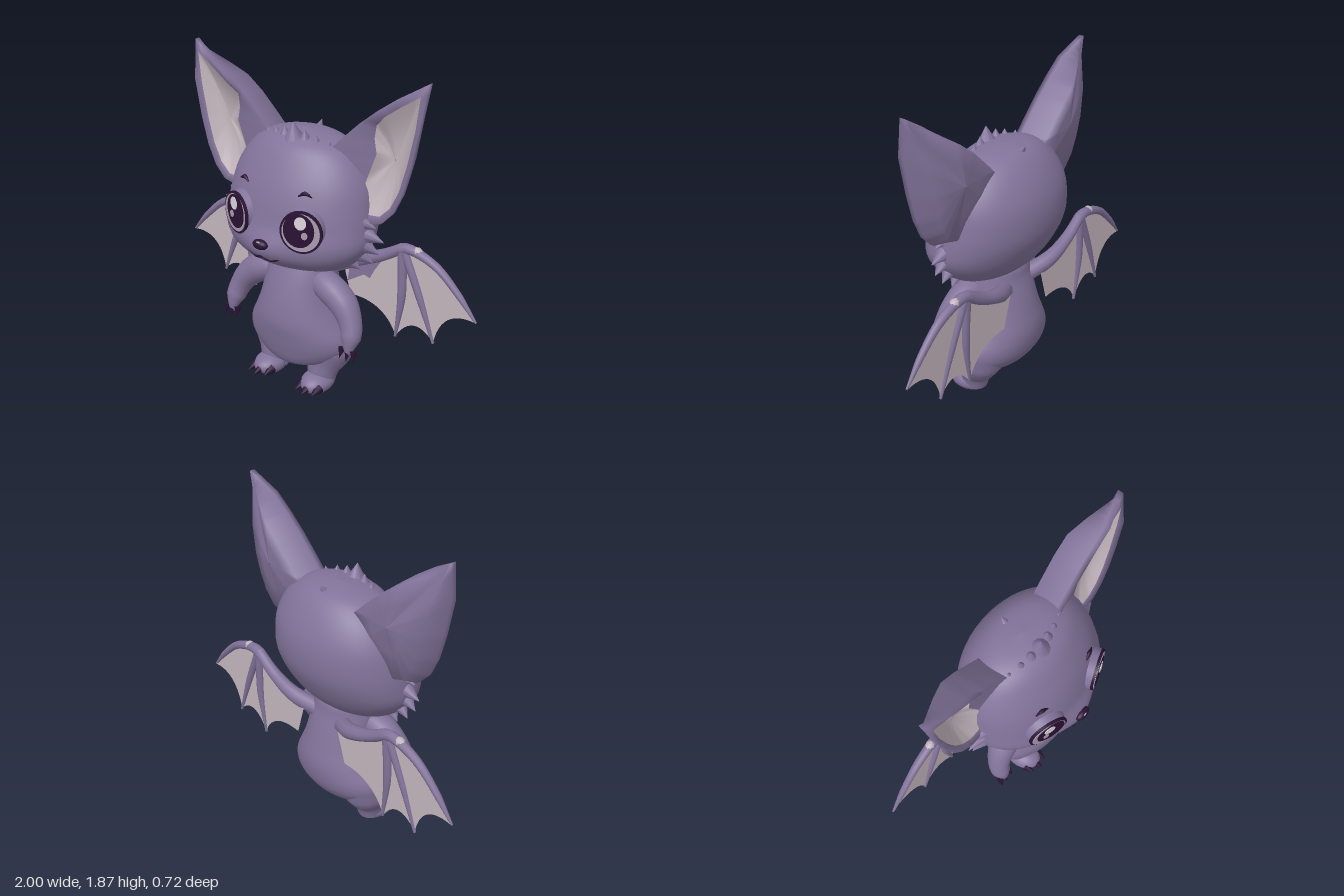
import * as THREE from 'three';
import { mergeVertices, mergeGeometries } from 'three/addons/utils/BufferGeometryUtils.js';

const V = (x, y, z = 0) => new THREE.Vector3(x, y, z);
const material = (name, color, side = THREE.FrontSide) => {
  const m = new THREE.MeshStandardMaterial({ color, side });
  m.name = name;
  return m;
};

// Merge duplicate corners so the shading is smooth
function smooth(geo) {
  geo.deleteAttribute('uv');
  geo.deleteAttribute('normal');
  const g = mergeVertices(geo, 1e-5);
  g.computeVertexNormals();
  return g;
}

// Skin a list of closed rings
function loft(rings) {
  const n = rings[0].length, index = [];
  for (let j = 0; j < rings.length - 1; j++) {
    for (let i = 0; i < n; i++) {
      const a = j * n + i, b = j * n + (i + 1) % n, c = a + n, d = b + n;
      index.push(a, c, b, b, c, d);
    }
  }
  const geo = new THREE.BufferGeometry().setFromPoints(rings.flat());
  geo.setIndex(index);
  geo.computeVertexNormals();
  return geo;
}

// Rounded volume from rows of [height, half width, front z, back z]
function volume(rows, steps = 44, n = 48) {
  const side = new THREE.CatmullRomCurve3(rows.map(r => V(r[1], r[0], 0)));
  const depth = new THREE.CatmullRomCurve3(rows.map(r => V(r[2], r[0], r[3])));
  const rings = [];
  for (let j = 0; j <= steps; j++) {
    const s = side.getPoint(j / steps), d = depth.getPoint(j / steps);
    const ring = [];
    for (let i = 0; i < n; i++) {
      const a = i / n * Math.PI * 2;
      ring.push(V(s.x * Math.cos(a), s.y, (d.x + d.z) / 2 + (d.x - d.z) / 2 * Math.sin(a)));
    }
    rings.push(ring);
  }
  return loft(rings);
}

// Tapered tube through points, radii spread evenly along it
function limb(points, radii, segs = 20, sides = 14) {
  const path = new THREE.CatmullRomCurve3(points.map(p => V(...p)));
  const geo = new THREE.TubeGeometry(path, segs, 1, sides);
  const pos = geo.attributes.position, p = V(0, 0);
  for (let i = 0; i < pos.count; i++) {
    const u = Math.floor(i / (sides + 1)) / segs, k = u * (radii.length - 1);
    const j = Math.min(Math.floor(k), radii.length - 2);
    const r = THREE.MathUtils.lerp(radii[j], radii[j + 1], k - j);
    const c = path.getPointAt(u);
    p.fromBufferAttribute(pos, i).sub(c).multiplyScalar(r).add(c);
    pos.setXYZ(i, p.x, p.y, p.z);
  }
  return smooth(geo);
}

// Pointed tuft or claw
function spike(base, tip, r) {
  const a = V(...base), dir = V(...tip).sub(a), len = dir.length();
  const geo = new THREE.ConeGeometry(r, len, 10).translate(0, len / 2, 0);
  geo.applyQuaternion(new THREE.Quaternion().setFromUnitVectors(V(0, 1), dir.normalize()));
  return geo.translate(a.x, a.y, a.z);
}

const ball = (c, r) => new THREE.SphereGeometry(1, 28, 20).scale(...r).translate(...c);

function mirrored(geo) {
  const g = geo.clone();
  g.attributes.position.array.forEach((v, i, a) => { if (i % 3 === 0) a[i] = -v; });
  const idx = g.index.array;
  for (let i = 0; i < idx.length; i += 3) [idx[i], idx[i + 1]] = [idx[i + 1], idx[i]];
  g.computeVertexNormals();
  return g;
}

export function createModel() {
  const root = new THREE.Group();
  root.name = 'batCub';
  const fur = material('purple fur', 0x82739a);
  const pale = material('pale skin', 0xc3b5bd, THREE.DoubleSide);
  const dark = material('dark plum', 0x2a1234);
  const sclera = material('eye lilac', 0xaa9cae);
  const shine = material('eye shine', 0xded5dd);
  const add = (name, geo, mat) => {
    const m = new THREE.Mesh(geo, mat);
    m.name = name;
    root.add(m);
  };
  const pair = (name, geo, mat) => {
    add('left' + name, geo, mat);
    add('right' + name, mirrored(geo), mat);
  };

  // Head with a soft muzzle bulge
  const head = volume([[.755, 0, -.03, -.03], [.765, .2, .12, -.14], [.80, .33, .22, -.20], [.87, .41, .29, -.26],
    [.95, .455, .305, -.305], [1.05, .455, .288, -.345], [1.15, .44, .268, -.356], [1.25, .415, .235, -.345],
    [1.35, .36, .185, -.305], [1.43, .28, .13, -.25], [1.475, .18, .06, -.19], [1.495, 0, -.07, -.07]]);
  const hp = head.attributes.position;
  for (let i = 0; i < hp.count; i++) {
    const x = hp.getX(i), y = hp.getY(i), z = hp.getZ(i);
    if (z > .1) hp.setZ(i, z + .035 * Math.exp(-x * x / .02 - (y - .92) ** 2 / .008));
  }
  head.computeVertexNormals();
  add('head', head, fur);

  // Body
  add('body', volume([[.125, 0, 0, 0], [.14, .14, .12, -.11], [.18, .25, .155, -.19], [.26, .325, .18, -.25],
    [.33, .33, .195, -.27], [.42, .285, .21, -.275], [.52, .24, .2, -.255], [.62, .215, .175, -.23],
    [.72, .2, .14, -.2], [.80, .17, .1, -.18], [.85, 0, -.03, -.03]]), fur);
  add('bellyTuft', spike([0, .21, .105], [0, .112, .125], .06), fur);

  // Face
  add('nose', ball([0, .955, .335], [.048, .028, .027]), dark);
  add('noseShine', ball([0, .972, .349], [.016, .006, .008]), sclera);
  add('mouth', limb([[-.11, .888, .298], [-.055, .866, .306], [0, .882, .323], [.055, .866, .306], [.11, .888, .298]],
    [.004, .008, .008, .008, .004], 30, 8), dark);
  pair('Brow', limb([[.165, 1.232, .224], [.2, 1.252, .214], [.238, 1.235, .202]], [.003, .012, .003], 12, 8), dark);

  // Eyes: tapered fur pad, thin rim and discs stacked on the face
  const disc = (x, y, z, rx, ry, h = .006, flare = 1) => new THREE.CylinderGeometry(1, flare, h, 36)
    .rotateX(Math.PI / 2).scale(rx, ry, 1).translate(x, y, z - h / 2)
    .rotateY(.34).translate(.22, 1.06, .274);
  pair('EyePad', disc(0, 0, -.01, .112, .113, .1, 1.2), fur);
  pair('EyeRim', disc(0, 0, 0, .115, .117, .014), dark);
  pair('EyeWhite', disc(0, 0, .004, .103, .105), sclera);
  pair('Pupil', disc(-.01, .012, .008, .084, .094), dark);
  pair('EyeShine', disc(0, .055, .012, .032, .036), shine);
  pair('EyeGlint', disc(.022, -.012, .012, .017, .02), sclera);

  // Ears: furry shell and pale hollow from matching outlines
  const outline = [[.44, 1.08], [.53, 1.10], [.595, 1.17], [.648, 1.285], [.69, 1.44], [.73, 1.65], [.75, 1.865],
    [.60, 1.773], [.49, 1.695], [.385, 1.61], [.285, 1.515], [.20, 1.43], [.22, 1.25], [.34, 1.14]];
  const hollow = [[.42, 1.12], [.51, 1.13], [.57, 1.19], [.62, 1.295], [.66, 1.44], [.698, 1.63], [.717, 1.8],
    [.61, 1.73], [.52, 1.665], [.455, 1.60], [.445, 1.53], [.46, 1.45], [.405, 1.30], [.38, 1.18]];
  const pull = [.1, .16, .22, .25, .27, .26, .1, .1, .07, .06, .06, .06, .1, .1];
  const back = [-.1, -.11, -.12, -.125, -.13, -.12, -.06, -.125, -.165, -.17, -.17, -.17, -.16, -.13];
  const ring = pts => pts.flatMap((p, i) => [0, .25, .5, .75].map(t => p.clone().lerp(pts[(i + 1) % pts.length], t)));
  const toward = (pts, x, y, z, t) => pts.map(p => p.clone().lerp(V(x, y, z), t));
  const rim = outline.map(([x, y], i) => V(x, y, i === 6 ? -.03 : .01));
  const edge = hollow.map(([x, y], i) => V(x, y, i > 8 && i < 13 ? -.04 : -.01));
  const spine = outline.map(([x, y], i) => V(x + (.5 - x) * pull[i], y + (1.45 - y) * pull[i], back[i]));
  pair('Ear', loft([ring(edge), ring(rim), ring(rim.map(p => p.clone().setZ(p.z - .03))), ring(spine),
    ring(toward(spine, .46, 1.45, -.175, .5)), ring(toward(spine, .46, 1.45, -.175, .99))]), fur);
  const bowl = t => ring(edge.map(p => V(p.x + (.55 - p.x) * t, p.y + (1.43 - p.y) * t,
    p.z * (1 - t) - .075 * (1 - (1 - t) ** 2))));
  pair('EarHollow', loft([.99, .8, .6, .4, .2, 0].map(bowl)), pale);

  // Fur tufts on crown and cheeks
  add('crownTuft', spike([0, 1.43, .04], [0, 1.555, .052], .075), fur);
  add('napeTuft', spike([0, 1.36, -.1], [0, 1.505, -.2], .09), fur);
  const tufts = [
    [[.065, 1.41, .035], [.068, 1.52, .04], .065], [[.125, 1.39, .02], [.135, 1.5, .03], .065],
    [[.18, 1.37, 0], [.207, 1.475, .01], .06], [[.39, 1.02, .0], [.545, .99, -.01], .065],
    [[.39, .97, .01], [.52, .915, -.01], .065], [[.35, .91, .01], [.475, .85, -.02], .065],
    [[.29, .86, .01], [.40, .79, -.02], .065], [[.38, 1.09, .01], [.50, 1.06, 0], .06]];
  pair('Tufts', mergeGeometries(tufts.map(t => spike(...t))), fur);

  // Arms with claws
  pair('Arm', limb([[.07, .66, -.01], [.21, .65, .02], [.335, .57, .033], [.4, .46, .06], [.413, .36, .1], [.413, .325, .105]],
    [.05, .08, .085, .08, .066, .056, .012], 30, 18), fur);
  pair('HandClaws', mergeGeometries([-1, 0, 1].map(i =>
    spike([.412 + i * .038, .36, .105], [.413 + i * .045, .292 + Math.abs(i) * .006, .125], .02))), dark);

  // Legs, feet and toe claws
  pair('Leg', limb([[.19, .32, -.06], [.185, .2, -.03], [.172, .11, 0], [.17, .03, .01]], [.14, .14, .095, .075], 16, 18), fur);
  const foot = ball([.171, .045, .05], [.088, .062, .118]);
  const fp = foot.attributes.position;
  for (let i = 0; i < fp.count; i++) fp.setY(i, Math.max(0, fp.getY(i)));
  pair('Foot', smooth(foot), fur);
  pair('ToeClaws', mergeGeometries([-1, 0, 1].map(i =>
    spike([.171 + i * .054, .043, .138 - Math.abs(i) * .022], [.171 + i * .058, .03, .21 - Math.abs(i) * .02], .031))), dark);

  // Wings: scalloped membrane stretched over tapered bones
  const web = new THREE.Shape();
  web.moveTo(.14, .70);
  web.quadraticCurveTo(.38, .76, .53, .885);
  web.quadraticCurveTo(.82, .88, .995, .58);
  web.quadraticCurveTo(.79, .61, .75, .375);
  web.quadraticCurveTo(.62, .52, .51, .335);
  web.quadraticCurveTo(.43, .52, .2, .5);
  pair('WingMembrane', new THREE.ShapeGeometry(web, 12).translate(0, 0, -.218), pale);
  const patch = new THREE.Shape([[.18, .58], [.29, .65], [.33, .64], [.36, .70], [.43, .81], [.2, .73]].map(p => V(...p)));
  pair('WingRootFur', new THREE.ShapeGeometry(patch).translate(0, 0, -.213), fur);
  const bones = [
    limb([[.05, .66, -.12], [.24, .735, -.21], [.4, .80, -.222], [.53, .88, -.22]], [.05, .046, .036, .03], 20, 10),
    limb([[.51, .868, -.22], [.57, .885, -.22], [.74, .832, -.218], [.88, .715, -.216], [.998, .582, -.216]], [.032, .026, .022, .018, .006], 24, 10),
    limb([[.54, .875, -.218], [.65, .63, -.216], [.75, .372, -.218]], [.026, .022, .008], 16, 8),
    limb([[.53, .875, -.218], [.54, .6, -.216], [.508, .332, -.218]], [.028, .026, .008], 16, 8)];
  pair('WingBones', mergeGeometries(bones), fur);
  pair('WingPatch', limb([[.575, .893, -.22], [.625, .883, -.22], [.67, .869, -.219]], [.012, .027, .012], 10, 10), pale);
  return root;
}
